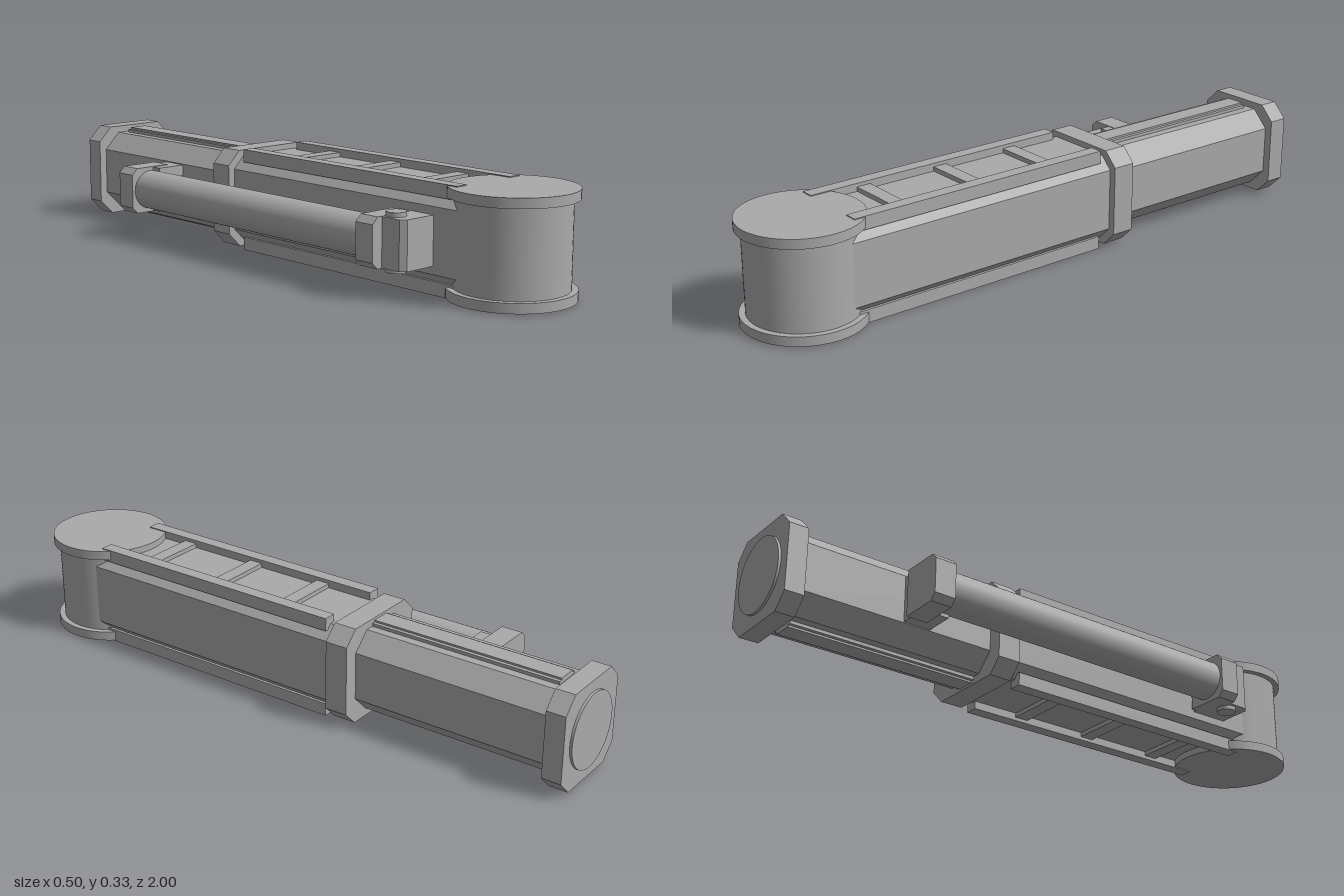
import * as THREE from 'three';

const CX = 0.06, CY = 0.164; // axis of the telescoping boom

export function createModel() {
  const model = new THREE.Group();
  model.name = 'telescopicArm';
  const grey = new THREE.MeshStandardMaterial({ color: 0xaaaaaa });
  grey.name = 'plain grey';

  const add = (name, geometry, x = 0, y = 0, z = 0) => {
    const mesh = new THREE.Mesh(geometry, grey);
    mesh.name = name;
    mesh.position.set(x, y, z);
    model.add(mesh);
    return mesh;
  };

  // Box given by its limits
  const box = (name, x0, x1, y0, y1, z0, z1) =>
    add(name, new THREE.BoxGeometry(x1 - x0, y1 - y0, z1 - z0),
      (x0 + x1) / 2, (y0 + y1) / 2, (z0 + z1) / 2);

  // Prism along z with separately chamfered left (-x) and right (+x) corners
  const prism = (name, cx, cy, w, h, left, right, z0, z1) => {
    const s = new THREE.Shape();
    s.moveTo(-w + left, -h);
    s.lineTo(w - right, -h);
    if (right) s.lineTo(w, -h + right);
    s.lineTo(w, h - right);
    if (right) s.lineTo(w - right, h);
    s.lineTo(-w + left, h);
    if (left) s.lineTo(-w, h - left);
    s.lineTo(-w, -h + left);
    if (left) s.lineTo(-w + left, -h);
    return add(name, new THREE.ExtrudeGeometry(s, { depth: z1 - z0, bevelEnabled: false }), cx, cy, z0);
  };

  const cylinder = (name, r, length, x, y, z, alongZ = false) => {
    const mesh = add(name, new THREE.CylinderGeometry(r, r, length, 64), x, y, z);
    if (alongZ) mesh.rotation.x = Math.PI / 2;
    return mesh;
  };

  // Pivot drum at the front, with a flange above and below
  cylinder('pivotDrum', 0.168, 0.28, CX, CY, 0.813);
  for (const s of [-1, 1]) cylinder('drumFlange', 0.187, 0.03, CX, CY + s * 0.145, 0.813);

  // Outer tube, collar, inner tube and end cap
  prism('outerTube', CX, CY, 0.151, 0.138, 0.04, 0.04, -0.21, 0.79);
  prism('collar', CX, CY, 0.174, 0.156, 0.045, 0.045, -0.283, -0.208);
  prism('innerTube', CX, CY, 0.127, 0.132, 0.056, 0.056, -0.94, -0.25);
  prism('endCap', CX, CY, 0.153, 0.154, 0.048, 0.048, -0.992, -0.93);
  cylinder('endDisc', 0.118, 0.02, CX, CY, -0.99, true);

  // Rails, rungs and inner guide strips, above and below
  for (const s of [-1, 1]) {
    const band = (name, x0, x1, a, b, z0, z1) =>
      box(name, x0, x1, CY + Math.min(s * a, s * b), CY + Math.max(s * a, s * b), z0, z1);
    for (const m of [-1, 1]) {
      const c = CX + m * 0.115;
      band('rail', c - 0.021, c + 0.021, 0.122, 0.163, -0.18, 0.72);
    }
    for (const z of [0, 0.265, 0.54]) {
      band('rung', CX - 0.095, CX + 0.095, 0.13, 0.152, z - 0.023, z + 0.023);
    }
    band('guidePlate', CX - 0.043, CX + 0.043, 0.125, 0.142, -0.91, -0.26);
    band('guideStrip', CX - 0.031, CX + 0.031, 0.13, 0.148, -0.91, -0.26);
  }

  // Side actuator with an end block at each end
  const ax = -0.177;
  cylinder('actuator', 0.063, 1.1, ax, CY, -0.02, true);
  prism('rearBlock', ax, CY, 0.073, 0.075, 0.02, 0, -0.605, -0.535);
  prism('frontBlock', ax, CY, 0.073, 0.075, 0.02, 0, 0.5, 0.567);

  // Rear bracket joining the actuator to the inner tube
  for (const s of [-1, 1]) {
    const y = CY + s * 0.055;
    box('rearBracket', -0.165, -0.06, y - 0.018, y + 0.018, -0.59, -0.5);
  }
  box('rearBracketWeb', -0.11, -0.06, CY - 0.06, CY + 0.06, -0.59, -0.51);

  // Front lug with corner cuts, fixed to the outer tube by a pin
  const lug = new THREE.Shape([
    [-0.213, -0.52], [-0.213, -0.634], [-0.197, -0.65], [-0.085, -0.65], [-0.085, -0.52],
  ].map(([x, y]) => new THREE.Vector2(x, y)));
  add('frontLug', new THREE.ExtrudeGeometry(lug, { depth: 0.148, bevelEnabled: false }),
    0, CY - 0.074, 0).rotation.x = -Math.PI / 2;
  cylinder('lugPin', 0.03, 0.175, -0.174, CY, 0.585);

  return model;
}
